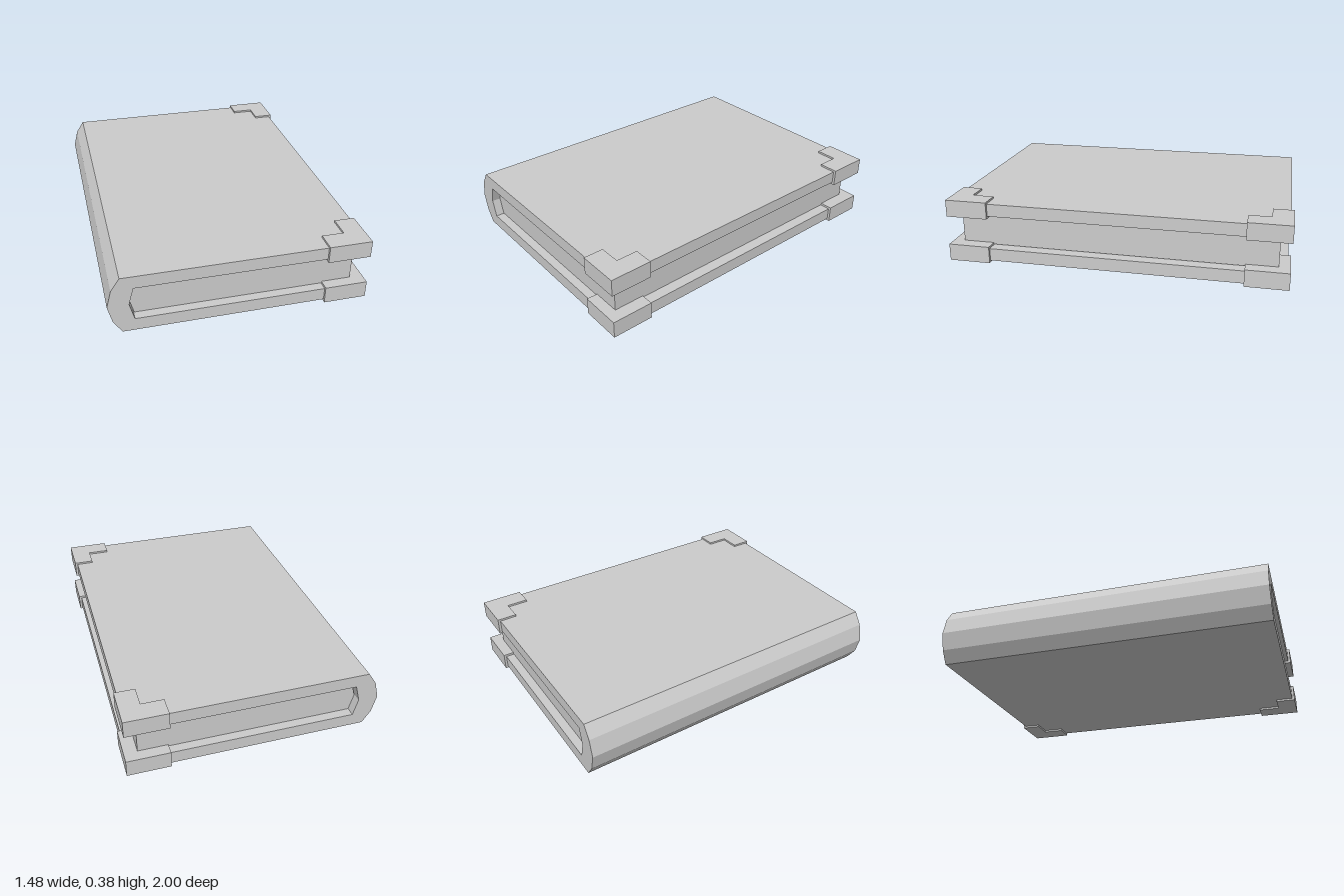
import * as THREE from 'three';

const material = new THREE.MeshStandardMaterial({ color: 0xcccccc, flatShading: true });
const MID = 0.19; // mid-height of the closed book

// Extrude an outline of [a, b] points, centred along its depth
function prism(name, points, depth) {
  const shape = new THREE.Shape(points.map(([a, b]) => new THREE.Vector2(a, b)));
  const geometry = new THREE.ExtrudeGeometry(shape, { depth, bevelEnabled: false });
  geometry.translate(0, 0, -depth / 2);
  const mesh = new THREE.Mesh(geometry, material);
  mesh.name = name;
  return mesh;
}

export function createModel() {
  const book = new THREE.Group();
  book.name = 'book';

  // Cover: both boards and the faceted spine in one wrap-around section
  const cover = prism('cover', [
    [0.725, 0.178], [-0.665, 0.178], [-0.714, 0.104], [-0.74, 0],
    [-0.714, -0.104], [-0.665, -0.178], [0.725, -0.178],
    [0.725, -0.102], [-0.595, -0.102], [-0.622, 0], [-0.595, 0.102], [0.725, 0.102],
  ], 1.97);
  cover.position.y = MID;
  book.add(cover);

  // Page block, with a pointed back that follows the spine
  const pages = prism('pages', [
    [0.663, 0.098], [-0.592, 0.098], [-0.618, 0], [-0.592, -0.098], [0.663, -0.098],
  ], 1.87);
  pages.position.y = MID;
  book.add(pages);

  // L-shaped guards on the four outer board corners
  for (const [level, y] of [['lower', 0.051], ['upper', 0.329]]) {
    for (const [end, s] of [['Front', 1], ['Back', -1]]) {
      const outline = [
        [0.49, 1], [0.74, 1], [0.74, 0.75], [0.62, 0.75], [0.62, 0.88], [0.49, 0.88],
      ].map(([x, z]) => [x, -z * s]);
      const guard = prism(level + end + 'CornerGuard', outline, 0.102);
      guard.rotation.x = -Math.PI / 2;
      guard.position.y = y;
      book.add(guard);
    }
  }
  return book;
}
